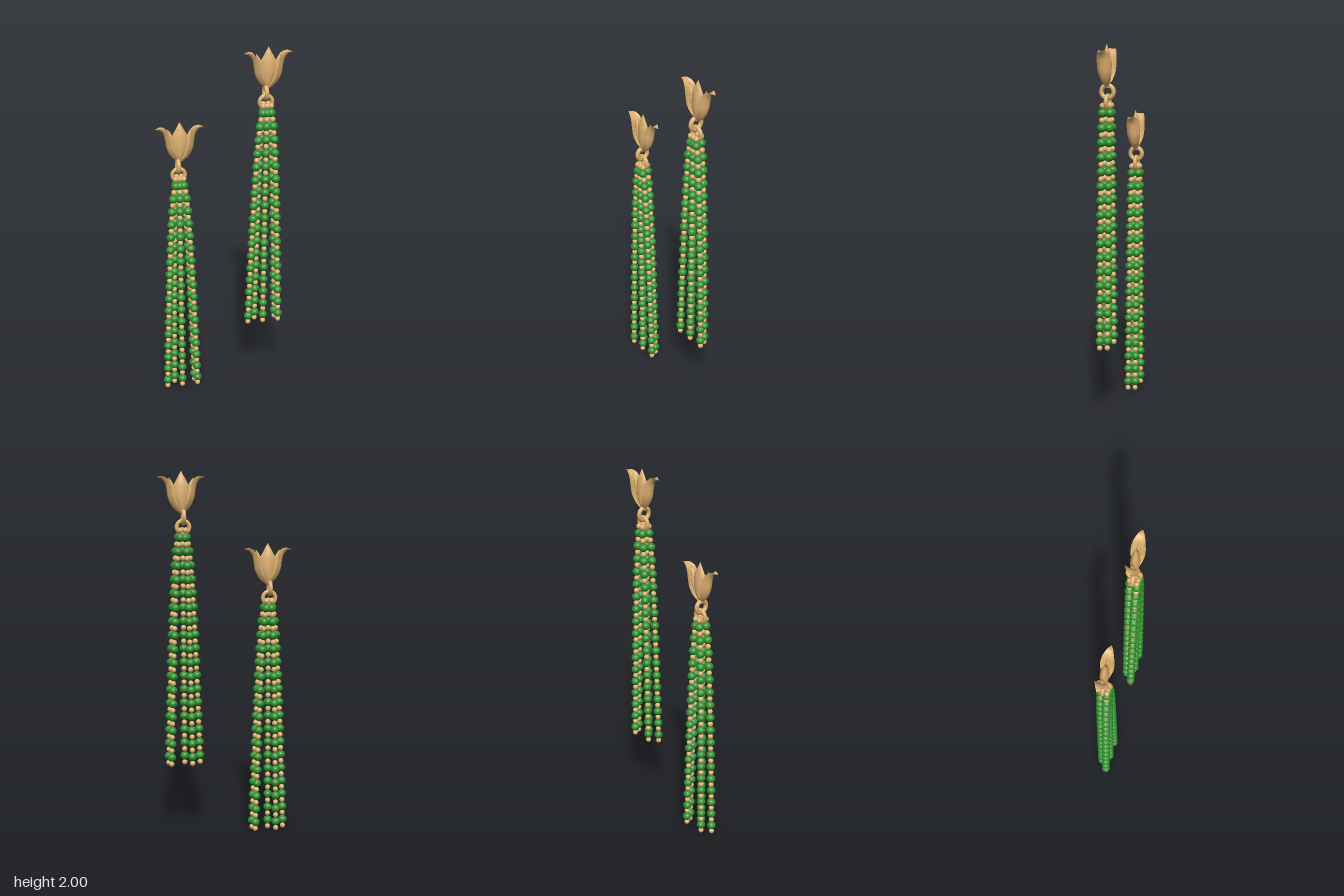
import * as THREE from 'three';
import { mergeGeometries, toCreasedNormals } from 'three/addons/utils/BufferGeometryUtils.js';

const gold = new THREE.MeshStandardMaterial({ color: 0xdcb070, side: THREE.DoubleSide });
const green = new THREE.MeshStandardMaterial({ color: 0x2f8f2f, flatShading: true });

function part(name, geometry, material, x = 0, y = 0, z = 0) {
  const mesh = new THREE.Mesh(geometry, material);
  mesh.name = name;
  mesh.position.set(x, y, z);
  return mesh;
}

// Lens-shaped sections swept along a path in the xy plane.
// rows: [x, y, halfWidth, halfThickness]; wideZ puts the width along z.
function petalGeometry(rows, side, wideZ, cup) {
  const path = new THREE.CatmullRomCurve3(rows.map(r => new THREE.Vector3(r[0] * side, r[1], 0)));
  const widths = new THREE.CatmullRomCurve3(rows.map(r => new THREE.Vector3(r[2], r[3], 0)));
  const steps = 20, around = 20, pos = [], index = [];
  for (let i = 0; i <= steps; i++) {
    const p = path.getPoint(i / steps), t = path.getTangent(i / steps), w = widths.getPoint(i / steps);
    const n = new THREE.Vector3(t.y, -t.x, 0), b = new THREE.Vector3(0, 0, 1);
    const wide = wideZ ? b : n, thick = wideZ ? n : b.negate();
    for (let j = 0; j < around; j++) {
      const a = j / around * Math.PI * 2, u = Math.cos(a), s = Math.sin(a);
      const v = p.clone()
        .addScaledVector(wide, u * Math.max(w.x, 0))
        .addScaledVector(thick, s * Math.abs(s) * Math.max(w.y, 0) - side * cup * u * u * w.x);
      pos.push(v.x, v.y, v.z);
      if (i < steps) {
        const c = i * around + j, d = i * around + (j + 1) % around;
        index.push(c, d, c + around, d, d + around, c + around);
      }
    }
  }
  const g = new THREE.BufferGeometry();
  g.setAttribute('position', new THREE.Float32BufferAttribute(pos, 3));
  g.setIndex(index);
  return toCreasedNormals(g, 0.8);
}

function createFlower() {
  const flower = new THREE.Group();
  flower.name = 'flower';
  const centre = [[-0.008, 1.785, 0.012, 0.012], [-0.004, 1.82, 0.03, 0.02], [0, 1.875, 0.046, 0.024],
    [0, 1.92, 0.042, 0.021], [0, 1.965, 0.02, 0.012], [0, 2.0, 0.001, 0.001]];
  const inner = [[0.006, 1.79, 0.006, 0.008], [0.032, 1.84, 0.013, 0.014], [0.046, 1.89, 0.015, 0.013],
    [0.052, 1.93, 0.011, 0.009], [0.066, 1.966, 0.001, 0.001]];
  const outer = [[0.002, 1.785, 0.012, 0.010], [0.036, 1.815, 0.026, 0.012], [0.06, 1.86, 0.036, 0.011],
    [0.07, 1.91, 0.037, 0.009], [0.082, 1.947, 0.031, 0.008], [0.102, 1.965, 0.018, 0.006], [0.128, 1.967, 0.001, 0.001]];
  flower.add(part('centrePetal', petalGeometry(centre, 1, false, 0), gold));
  for (const side of [-1, 1]) {
    flower.add(part('innerPetal', petalGeometry(inner, side, false, 0), gold));
    flower.add(part('outerPetal', petalGeometry(outer, side, true, 0.5), gold));
  }
  // short peg joining the petals to the ring
  flower.add(part('stem', new THREE.CylinderGeometry(0.019, 0.013, 0.035, 16), gold, -0.01, 1.795, 0));
  flower.position.set(0.232, 0, 0.008);
  return flower;
}

// Strand of alternating green and gold beads, fanning out from the ring.
function createStrand(topX, bottomX, z) {
  const strand = new THREE.Group();
  strand.name = 'beadStrand';
  const count = 17, pitch = 0.0757, topY = 1.649;
  const greens = [], golds = [];
  const at = k => {
    const t = Math.max(k, 0) / (count - 1);
    return [topX + (bottomX - topX) * Math.pow(t, 0.55), topY - k * pitch, z];
  };
  for (let k = 0; k < count; k++) {
    greens.push(new THREE.IcosahedronGeometry(0.0245, 2).scale(1, 0.93, 1).rotateY(k).translate(...at(k)));
  }
  for (let k = 0; k <= count; k++) {
    golds.push(new THREE.SphereGeometry(0.0152, 12, 8).translate(...at(k - 0.5)));
  }
  strand.add(part('greenBeads', mergeGeometries(greens), green));
  strand.add(part('goldBeads', mergeGeometries(golds), gold));
  return strand;
}

function createEarring() {
  const earring = new THREE.Group();
  earring.add(createFlower());
  // two linked rings at right angles
  const upper = part('upperRing', new THREE.TorusGeometry(0.033, 0.012, 12, 32), gold, 0.22, 1.757, 0.008);
  upper.rotation.y = Math.PI / 2;
  earring.add(upper);
  earring.add(part('lowerRing', new THREE.TorusGeometry(0.034, 0.011, 12, 32), gold, 0.223, 1.704, 0.006));
  // front row of three strands, back row of two: top x, bottom x, z
  const strands = [[0.203, 0.135, 0.027], [0.225, 0.22, 0.027], [0.247, 0.308, 0.027],
    [0.213, 0.18, -0.011], [0.24, 0.295, -0.011]];
  for (const s of strands) earring.add(createStrand(...s));
  return earring;
}

export function createModel() {
  const model = new THREE.Group();
  model.name = 'earrings';
  const left = createEarring();
  left.name = 'leftEarring';
  const right = left.clone();
  right.name = 'rightEarring';
  right.position.set(-0.466, -0.385, -0.02);
  model.add(left, right);
  return model;
}
